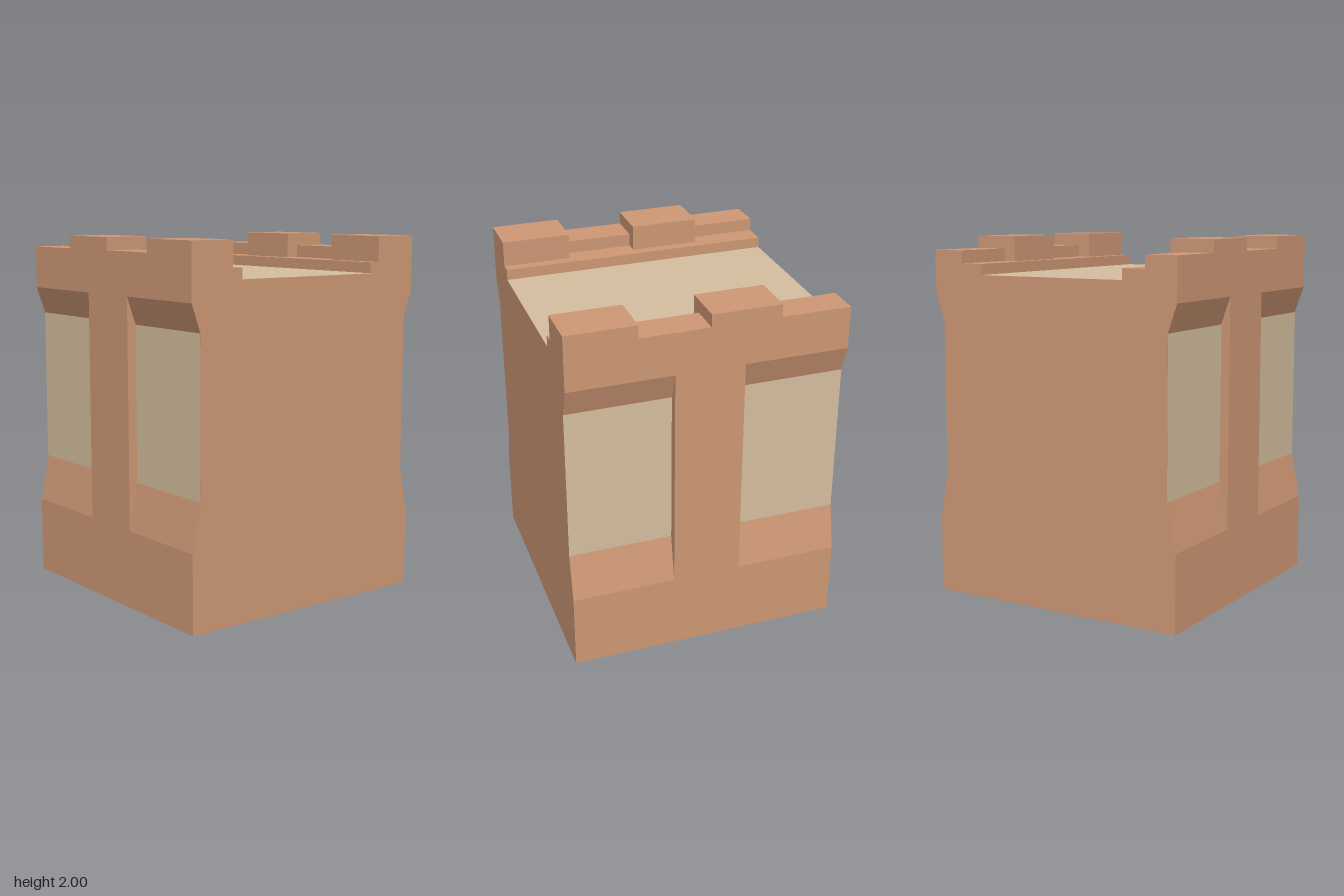
import * as THREE from 'three';

const HALF = 0.762;      // half width of the block
const RECESS = 0.71;     // depth of the sunken panels
const PILLAR = 0.19;     // half width of the central pillars
const FLOOR = 1.8, LEDGE = 1.86;

const clay = new THREE.MeshStandardMaterial({ color: 0xcf9875 });
clay.name = 'clay';
const sand = new THREE.MeshStandardMaterial({ color: 0xd6bf9f });
sand.name = 'sand';

export function createModel() {
  const model = new THREE.Group();
  model.name = 'towerBlock';
  const add = (name, geometry, material, x = 0, y = 0, z = 0) => {
    const mesh = new THREE.Mesh(geometry, material);
    mesh.name = name;
    mesh.position.set(x, y, z);
    model.add(mesh);
    return mesh;
  };

  // Slice of the block: a (z, y) cross-section swept along x
  const slice = (name, x0, x1, wall) => {
    const half = [...wall, [HALF, LEDGE], [0.445, LEDGE], [0.445, FLOOR]];
    const mirrored = half.map(([z, y]) => [-z, y]).reverse();
    const shape = new THREE.Shape([...half, ...mirrored].map(([z, y]) => new THREE.Vector2(z, y)));
    const geometry = new THREE.ExtrudeGeometry(shape, { depth: x1 - x0, bevelEnabled: false });
    geometry.rotateY(Math.PI / 2);
    add(name, geometry, clay, x0);
  };
  const recessed = [[HALF, 0], [HALF, 0.43], [RECESS, 0.69], [RECESS, 1.545], [HALF, 1.695]];
  slice('rightBody', -HALF, -PILLAR, recessed);
  slice('pillarBody', -PILLAR, PILLAR, [[HALF, 0]]);
  slice('leftBody', PILLAR, HALF, recessed);

  // Roof floor
  add('roofFloor', new THREE.PlaneGeometry(2 * HALF, 0.89).rotateX(-Math.PI / 2), sand, 0, FLOOR + 0.001);

  for (const s of [1, -1]) {
    const side = s > 0 ? 'front' : 'back';

    // Sunken wall panels
    const width = HALF - PILLAR;
    for (const x of [-1, 1]) {
      const panel = add(side + 'Panel', new THREE.PlaneGeometry(width, 0.855), sand,
        x * (PILLAR + width / 2), 1.1175, s * (RECESS + 0.001));
      if (s < 0) panel.rotation.y = Math.PI;
    }

    // Battlements: low and high blocks in turn
    for (let i = 0; i < 4; i++) {
      const high = i % 2 === 1;
      const inner = high ? 0.505 : 0.577, top = high ? 2 : 1.93;
      add(side + (high ? 'Merlon' : 'Crenel'),
        new THREE.BoxGeometry(HALF / 2, top - LEDGE, HALF - inner), clay,
        -HALF + (i + 0.5) * HALF / 2, (top + LEDGE) / 2, s * (HALF + inner) / 2);
    }
  }

  // The block sits very slightly turned
  model.rotation.y = -0.011;
  return model;
}
